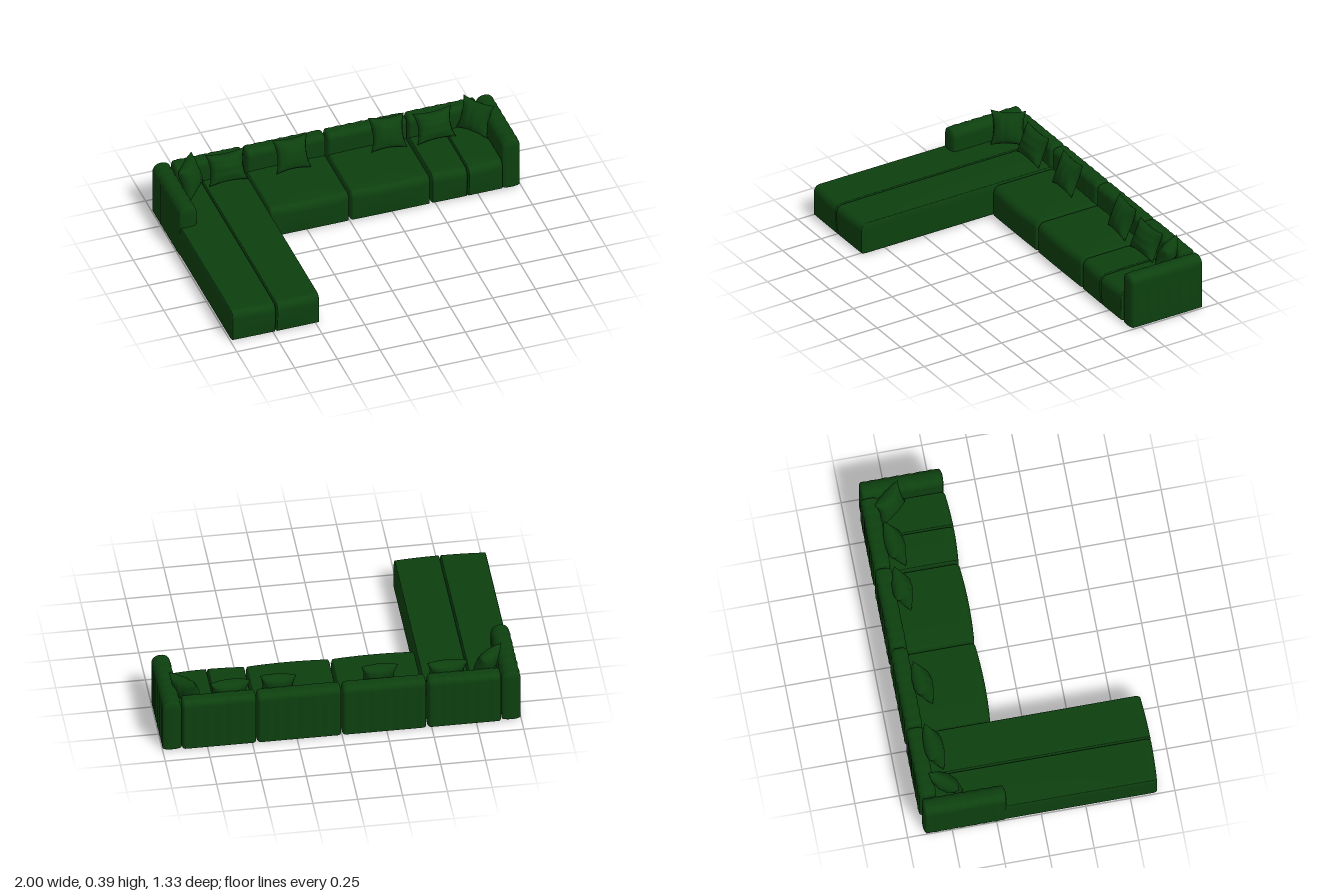
import * as THREE from 'three';
import { mergeGeometries, mergeVertices } from 'three/addons/utils/BufferGeometryUtils.js';

const fabric = new THREE.MeshStandardMaterial({ color: 0x0d400f });
fabric.name = 'dark green fabric';

function smooth(geometry) {
  geometry.deleteAttribute('uv');
  geometry.deleteAttribute('normal');
  const merged = mergeVertices(geometry, 1e-5);
  merged.computeVertexNormals();
  return merged;
}

// Upholstered block from min to max, with its own edge radius on each axis.
// shape(p, dir) may push each vertex further.
function softBlock(name, min, max, radius, shape, core = [12, 3, 12]) {
  const R = 4;
  const n = core.map((c) => c + 2 * R);
  const geo = new THREE.BoxGeometry(1, 1, 1, ...n);
  const pos = geo.attributes.position;
  const p = new THREE.Vector3();
  const dir = new THREE.Vector3();
  for (let i = 0; i < pos.count; i++) {
    p.fromBufferAttribute(pos, i);
    const base = [0, 0, 0];
    const d = [0, 0, 0];
    for (let a = 0; a < 3; a++) {
      const k = Math.round((p.getComponent(a) + 0.5) * n[a]);
      const low = a === 1 ? 0.008 : radius[a]; // nearly square where it meets the floor
      const t = THREE.MathUtils.clamp((k - R) / core[a], 0, 1);
      base[a] = THREE.MathUtils.lerp(min[a] + low, max[a] - radius[a], t);
      if (k < R) d[a] = -Math.tan((1 - k / R) * Math.PI / 4);
      if (k > n[a] - R) d[a] = Math.tan(((k - n[a]) / R + 1) * Math.PI / 4);
    }
    dir.set(...d).normalize();
    p.set(...base.map((b, a) => b + dir.getComponent(a) * (a === 1 && d[1] < 0 ? 0.008 : radius[a])));
    if (shape) shape(p, dir);
    pos.setXYZ(i, p.x, p.y, p.z);
  }
  const mesh = new THREE.Mesh(smooth(geo), fabric);
  mesh.name = name;
  return mesh;
}

// Seat with a bowed front and crowned top; a seam splits it into two panels.
function seat(name, x0, x1, zFront, seamed) {
  const group = new THREE.Group();
  group.name = name;
  const zBack = -0.6;
  const bow = (p) => {
    const across = 1 - ((2 * p.x - x0 - x1) / (x1 - x0)) ** 2;
    const along = THREE.MathUtils.clamp((p.z - zBack) / (zFront - zBack), 0, 1);
    const up = p.y / 0.19;
    p.z += 0.012 * across * along ** 4 * Math.min(1, up * 2);
    p.y += 0.005 * up * across * (1 - along ** 4);
  };
  const cuts = seamed ? [x0, (x0 + x1) / 2, x1] : [x0, x1];
  for (let i = 1; i < cuts.length; i++) {
    group.add(softBlock('seatPanel', [cuts[i - 1], 0.003, zBack], [cuts[i], 0.192, zFront],
      [seamed ? 0.008 : 0.014, 0.045, 0.035], bow));
  }
  return group;
}

// Gathered fabric: shallow folds across the given axis
const folds = (axis) => (p, dir) => {
  if (dir.y < -0.1) return;
  const s = p[axis];
  const f = 0.0013 * (Math.sin(s * 95) + 0.6 * Math.sin(s * 171 + 1));
  p.addScaledVector(dir, f);
};

// Throw pillow with pinched corners and shallow creases
function pillow([x, y, z, w, h, yaw, tilt, roll, turned]) {
  const sides = [0, Math.PI].map((a) => new THREE.PlaneGeometry(2, 2, 20, 20).rotateY(a));
  sides.forEach((g, side) => {
    const pos = g.attributes.position;
    for (let i = 0; i < pos.count; i++) {
      const u = pos.getX(i);
      const v = pos.getY(i);
      const fill = Math.max(0, (1 - u * u) * (1 - v * v));
      const crease = 1 + 0.035 * Math.sin((turned ? v : u) * 11);
      const depth = 0.05 * Math.pow(fill, 0.45) * crease;
      pos.setXYZ(i,
        (w / 2) * u * (1 - 0.17 * (1 - v * v)),
        (h / 2) * v * (1 - 0.13 * (1 - u * u)),
        side ? -depth : depth);
    }
  });
  const mesh = new THREE.Mesh(smooth(mergeGeometries(sides)), fabric);
  mesh.name = 'throwPillow';
  mesh.position.set(x, y, z);
  mesh.rotation.set(-tilt, yaw, roll, 'YXZ');
  return mesh;
}

export function createModel() {
  const sofa = new THREE.Group();
  sofa.name = 'cornerSofa';

  // Seats, with the long chaise on the right
  sofa.add(
    seat('chaise', -0.995, -0.477, 0.652, true),
    seat('innerSeat', -0.472, -0.003, -0.188, false),
    seat('middleSeat', 0.003, 0.472, -0.188, false),
    seat('endSeat', 0.477, 0.897, -0.188, true),
  );

  // Backrests
  const joints = [-0.893, -0.475, 0, 0.475, 0.893];
  for (let i = 0; i < 4; i++) {
    sofa.add(softBlock('backrest', [joints[i] + 0.003, 0, -0.664], [joints[i + 1] - 0.003, 0.322, -0.568],
      [0.018, 0.035, 0.035], folds('x'), [30, 4, 3]));
  }

  // Armrests with fully rounded tops
  for (const side of [-1, 1]) {
    const [a, b] = [side * 0.894, side * 0.998].sort((p, q) => p - q);
    sofa.add(softBlock(side < 0 ? 'rightArm' : 'leftArm', [a, 0, -0.656], [b, 0.322, -0.19],
      [0.048, 0.048, 0.016], folds('z'), [2, 4, 30]));
  }

  // Pillows: x, y, z, width, height, yaw, tilt, roll, creases across
  const pillows = [
    [-0.825, 0.292, -0.505, 0.2, 0.2, 0.85, 0.33, 0.05, false],
    [-0.603, 0.285, -0.53, 0.23, 0.185, 0, 0.38, 0, true],
    [-0.225, 0.29, -0.522, 0.205, 0.2, 0, 0.38, 0, false],
    [0.34, 0.29, -0.53, 0.205, 0.2, -0.08, 0.38, 0, false],
    [0.61, 0.28, -0.522, 0.23, 0.18, 0.04, 0.42, 0, true],
    [0.845, 0.292, -0.505, 0.2, 0.2, -0.85, 0.33, -0.05, false],
  ];
  pillows.forEach((p) => sofa.add(pillow(p)));

  return sofa;
}
